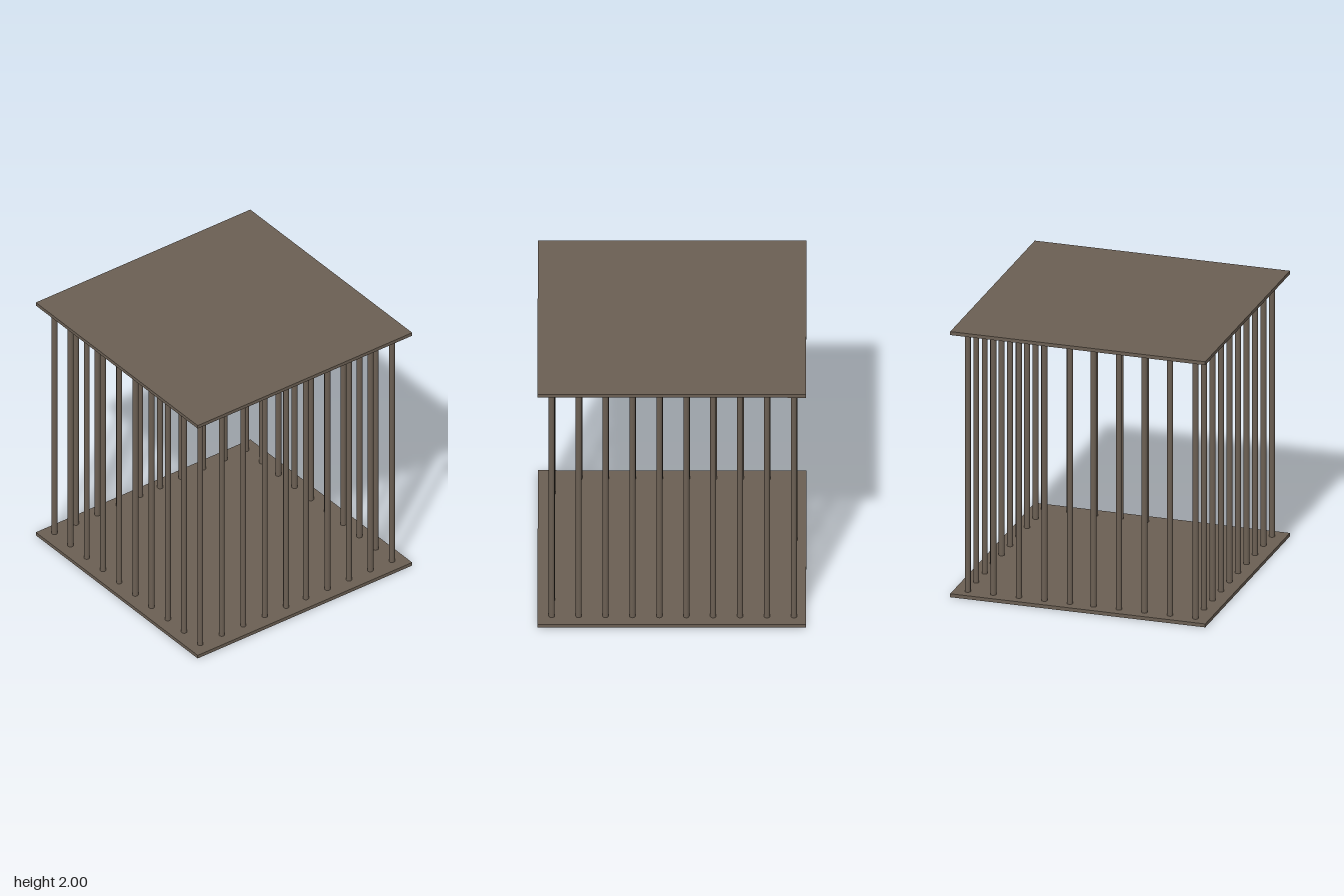
import * as THREE from 'three';

const HEIGHT = 2;
const PLATE = 0.026;      // plate thickness
const WIDTH = 1.89;       // plate side length
const RADIUS = 0.021;     // bar radius
const STEP = 0.1893;      // distance between bars
const COUNT = 10;         // bars per side
const BACK = -0.86;       // z of the back row

export function createModel() {
  const model = new THREE.Group();
  model.name = 'cage';
  const material = new THREE.MeshStandardMaterial({ color: 0x6b5f53 });

  // Floor and roof plates
  const plateGeometry = new THREE.BoxGeometry(WIDTH, PLATE, WIDTH);
  for (const [name, y] of [['floorPlate', PLATE / 2], ['roofPlate', HEIGHT - PLATE / 2]]) {
    const plate = new THREE.Mesh(plateGeometry, material);
    plate.name = name;
    plate.position.y = y;
    model.add(plate);
  }

  // Bar positions: the x rows have a slightly narrower gap in the middle
  const xs = [];
  const zs = [];
  for (let i = 0; i < COUNT; i++) {
    xs.push(-0.846 + i * STEP - (i >= COUNT / 2 ? 0.015 : 0));
    zs.push(BACK + i * STEP);
  }
  const last = COUNT - 1;

  // Upright bars around all four sides, ends resting on the plates
  const barGeometry = new THREE.CylinderGeometry(RADIUS, RADIUS, HEIGHT - 2 * PLATE, 16);
  const addBar = (parent, name, x, z) => {
    const bar = new THREE.Mesh(barGeometry, material);
    bar.name = name;
    bar.position.set(x, HEIGHT / 2, z);
    parent.add(bar);
  };
  const addRow = (name, points) => {
    const row = new THREE.Group();
    row.name = name + 'Bars';
    points.forEach(([x, z], i) => addBar(row, `${name}Bar${i + 1}`, x, z));
    model.add(row);
  };
  const inner = zs.slice(1, last); // corners belong to the front and back rows
  addRow('front', xs.map((x) => [x, zs[last]]));
  addRow('back', xs.map((x) => [x, zs[0]]));
  addRow('left', inner.map((z) => [xs[last], z]));
  addRow('right', inner.map((z) => [xs[0], z]));

  return model;
}
